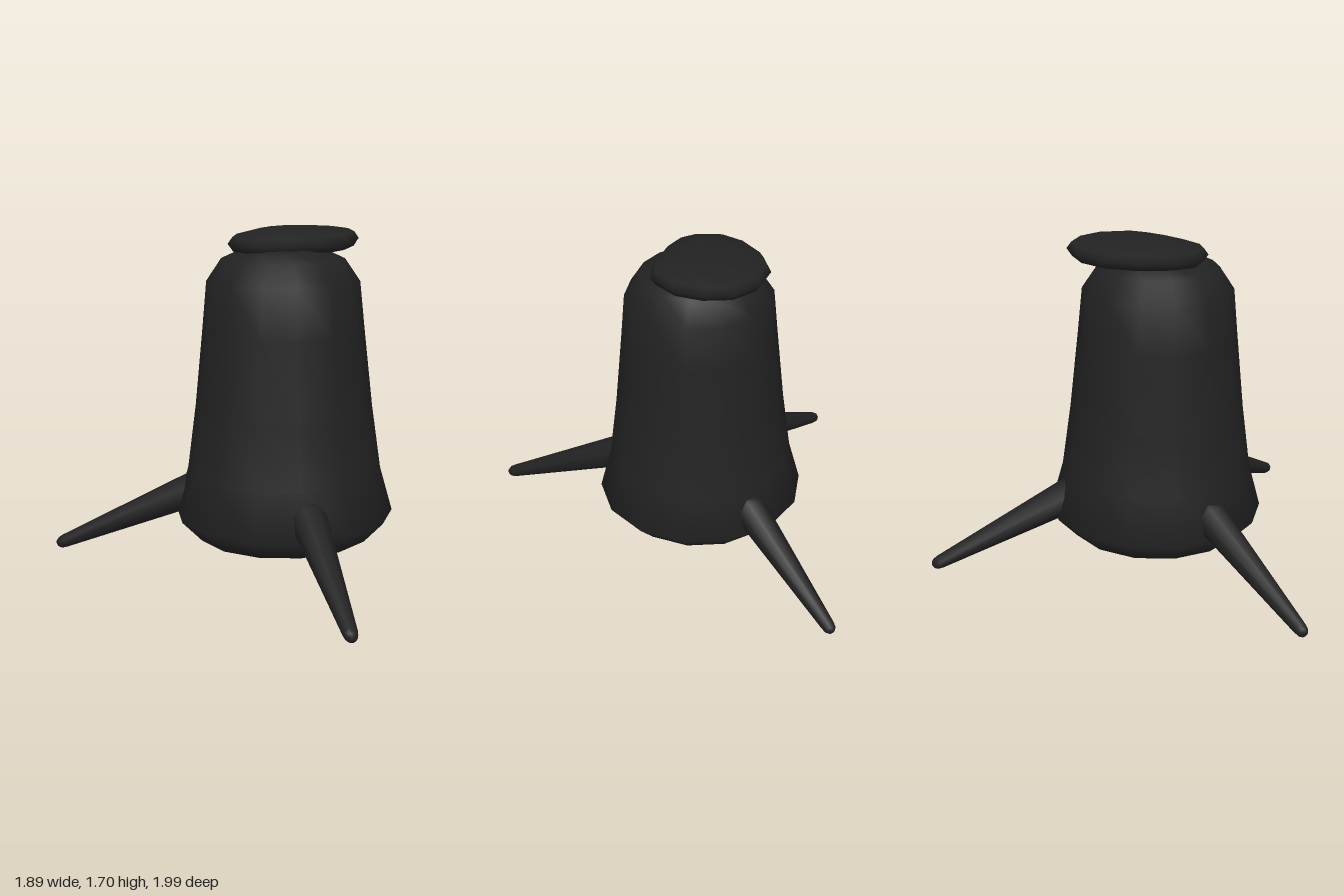
import * as THREE from 'three';
import { mergeVertices } from 'three/addons/utils/BufferGeometryUtils.js';

const V = (pairs) => pairs.map(([r, y]) => new THREE.Vector2(r, y));

// Flat pebble-like lid: a lathe whose rings follow an irregular outline
function lidGeometry() {
  const outline = [
    [-0.47, -0.06], [-0.42, -0.2], [-0.3, -0.28], [-0.12, -0.32], [0.05, -0.3], [0.18, -0.2], [0.24, -0.05],
    [0.2, 0.1], [0.1, 0.22], [-0.07, 0.285], [-0.2, 0.24], [-0.36, 0.13], [-0.45, 0.03],
  ].reverse();
  const profile = V([[0, 1.575], [0.6, 1.575], [0.92, 1.595], [1, 1.635], [0.93, 1.668], [0.55, 1.692], [0, 1.7]]);
  const n = outline.length, rows = profile.length;
  const geo = new THREE.LatheGeometry(profile, n);
  const pos = geo.attributes.position;
  for (let i = 0; i < pos.count; i++) {
    const [x, z] = outline[Math.floor(i / rows) % n];
    const s = profile[i % rows].x;
    // slightly higher rim towards the left side
    const y = pos.getY(i) + (s > 0.9 ? 0.012 * (x + 0.1) / 0.35 : 0);
    pos.setXYZ(i, -0.11 + (x + 0.11) * s, y, -0.02 + (z + 0.02) * s);
  }
  geo.deleteAttribute('uv');
  geo.deleteAttribute('normal');
  const merged = mergeVertices(geo, 1e-4);
  merged.computeVertexNormals();
  return merged;
}

export function createModel() {
  const model = new THREE.Group();
  model.name = 'threeLeggedPot';
  const black = new THREE.MeshStandardMaterial({ color: 0x222222 });
  black.name = 'charcoal black';

  const add = (parent, name, geo) => {
    const mesh = new THREE.Mesh(geo, black);
    mesh.name = name;
    parent.add(mesh);
    return mesh;
  };

  // Tapered body with a shallow cone underneath and a rounded shoulder
  const bodyProfile = V([
    [0, 0.09], [0.455, 0.13], [0.56, 0.24], [0.497, 0.47], [0.452, 0.8],
    [0.41, 1.2], [0.387, 1.435], [0.31, 1.55], [0.2, 1.6], [0, 1.615],
  ]);
  const body = add(model, 'body', new THREE.LatheGeometry(bodyProfile, 14, Math.PI / 2));
  body.position.set(-0.22, 0, -0.01);

  // Three splayed, tapering legs with rounded tips
  const legProfile = V([
    [0, 0], [0.094, 0], [0.09, 0.1], [0.035, 0.84], [0.03, 0.866], [0.018, 0.882], [0, 0.888],
  ]);
  const legGeo = new THREE.LatheGeometry(legProfile, 8, Math.PI / 8);
  [['leftLeg', 17], ['backRightLeg', 126], ['frontRightLeg', 235]].forEach(([name, degrees]) => {
    const mount = new THREE.Group();
    mount.name = name + 'Mount';
    mount.position.set(-0.22, 0, -0.01);
    mount.rotation.y = THREE.MathUtils.degToRad(degrees);
    const leg = add(mount, name, legGeo);
    leg.position.set(0.4, 0.372, 0);
    leg.rotation.z = -THREE.MathUtils.degToRad(113.4);
    model.add(mount);
  });

  // Off-centre lid resting on the shoulder
  add(model, 'lid', lidGeometry());
  return model;
}
